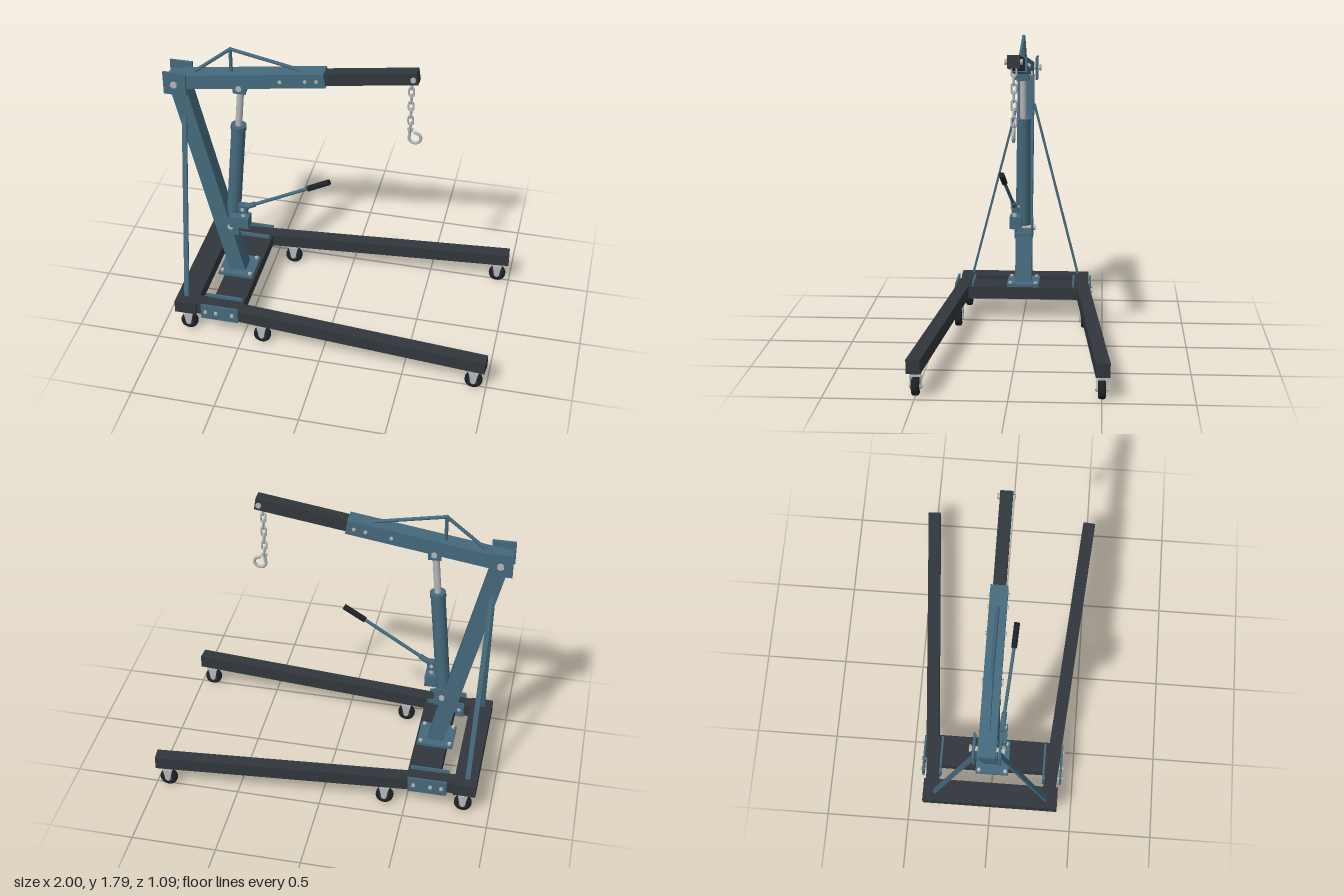
import * as THREE from 'three';

const V = (x, y, z = 0) => new THREE.Vector3(x, y, z);
const mat = (color) => new THREE.MeshStandardMaterial({ color });

export function createModel() {
  const root = new THREE.Group();
  const blue = mat(0x44697c), dark = mat(0x30373c), steel = mat(0xb4b6b8), rubber = mat(0x1e2124);

  const add = (name, geo, m, pos = V(0, 0), parent = root) => {
    const mesh = new THREE.Mesh(geo, m);
    mesh.name = name;
    mesh.position.copy(pos);
    parent.add(mesh);
    return mesh;
  };
  const box = (name, m, pos, w, h, d, parent) => add(name, new THREE.BoxGeometry(w, h, d), m, pos, parent);

  // Box beam from a to b: h across, d sideways (towards z)
  const beam = (name, m, a, b, h, d) => {
    const mesh = box(name, m, a.clone().lerp(b, 0.5), a.distanceTo(b), h, d);
    const x = b.clone().sub(a).normalize();
    const z = V(0, 0, 1).addScaledVector(x, -x.z).normalize();
    mesh.quaternion.setFromRotationMatrix(new THREE.Matrix4().makeBasis(x, z.clone().cross(x), z));
    return mesh;
  };
  // Round bar from a to b
  const rod = (name, m, a, b, r, sides = 20, parent = root, r2 = r) => {
    const mesh = add(name, new THREE.CylinderGeometry(r2, r, a.distanceTo(b), sides), m, a.clone().lerp(b, 0.5), parent);
    mesh.quaternion.setFromUnitVectors(V(0, 1), b.clone().sub(a).normalize());
    return mesh;
  };
  // Pin or bolt across z with hexagonal heads
  const pin = (name, x, y, z0, z1, r) => {
    rod(name, steel, V(x, y, z0), V(x, y, z1), r, 16);
    rod(name + 'Head', steel, V(x, y, z0), V(x, y, z0 + 0.012), r * 1.5, 6);
    rod(name + 'Nut', steel, V(x, y, z1 - 0.012), V(x, y, z1), r * 1.5, 6);
  };

  // Base frame
  box('rearCrossBeam', dark, V(-0.848, 0.178), 0.134, 0.078, 0.82);
  box('frontCrossBeam', dark, V(-0.597, 0.178), 0.19, 0.074, 0.7);
  box('columnFootPlate', blue, V(-0.622, 0.224), 0.215, 0.018, 0.2);
  for (const x of [-0.71, -0.535]) for (const z of [-0.08, 0.08])
    rod('footBolt', steel, V(x, 0.23, z), V(x, 0.245, z), 0.012, 6);

  // Casters: tyre, hub, forks and swivel
  const tyreProfile = [[0.026, -0.021], [0.042, -0.021], [0.049, -0.017], [0.052, -0.008],
    [0.052, 0.008], [0.049, 0.017], [0.042, 0.021], [0.026, 0.021]].map(([r, y]) => new THREE.Vector2(r, y));
  const tyreGeo = new THREE.LatheGeometry(tyreProfile, 32).rotateX(Math.PI / 2);
  const forkShape = new THREE.Shape([[-0.028, 0.118], [-0.014, 0.045], [0, 0.036], [0.014, 0.045], [0.028, 0.118]]
    .map(([x, y]) => new THREE.Vector2(x, y)));
  const forkGeo = new THREE.ExtrudeGeometry(forkShape, { depth: 0.006, bevelEnabled: false });
  const caster = (x, z) => {
    const g = new THREE.Group();
    g.name = 'caster';
    g.position.set(x, 0, z);
    root.add(g);
    add('tyre', tyreGeo, rubber, V(0, 0.052), g);
    rod('hub', dark, V(0, 0.052, -0.019), V(0, 0.052, 0.019), 0.028, 24, g);
    rod('axle', steel, V(0, 0.052, -0.036), V(0, 0.052, 0.036), 0.008, 12, g);
    for (const s of [-1, 1]) add('fork', forkGeo, steel, V(0, 0, s * 0.027 - 0.003), g);
    box('forkCrown', steel, V(0, 0.115), 0.056, 0.008, 0.06, g);
    rod('swivel', steel, V(0, 0.115), V(0, 0.132), 0.024, 20, g);
    box('mountPlate', steel, V(0, 0.134), 0.07, 0.008, 0.07, g);
  };

  // Both sides: legs, clamp plates, casters, braces
  for (const s of [-1, 1]) {
    beam('leg', dark, V(-0.783, 0.18, s * 0.358), V(0.993, 0.18, s * 0.506), 0.08, 0.078);
    for (const z of [0.316, 0.421]) box('legClampPlate', blue, V(-0.63, 0.186, s * z), 0.23, 0.1, 0.012);
    for (const x of [-0.715, -0.65, -0.55]) pin('legBolt', x, 0.19, s * 0.372 - 0.066, s * 0.372 + 0.066, 0.008);
    caster(-0.84, s * 0.365);
    caster(-0.375, s * 0.392);
    caster(0.925, s * 0.5);
    beam('brace', blue, V(-0.858, 0.205, s * 0.343), V(-0.893, 1.325, s * 0.054), 0.028, 0.014);
    box('mastHeadPlate', blue, V(-0.932, 1.551, s * 0.069), 0.134, 0.142, 0.014);
    box('ramFootPlate', blue, V(-0.648, 0.568, s * 0.053), 0.098, 0.116, 0.01);
    box('ramHeadPlate', blue, V(-0.562, 1.546, s * 0.034), 0.075, 0.065, 0.01);
  }

  // Column
  beam('column', blue, V(-0.617, 0.22), V(-0.921, 1.51), 0.097, 0.104);
  pin('mastPin', -0.932, 1.553, -0.095, 0.095, 0.014);

  // Boom with sliding extension
  const boomAt = (x, up = 0) => V(x, 1.555 + (x + 0.86) * 0.147 + up);
  beam('boom', blue, boomAt(-0.98), boomAt(-0.065), 0.088, 0.096);
  beam('boomExtension', dark, boomAt(-0.2), boomAt(0.455), 0.072, 0.07);
  for (const x of [-0.32, -0.175, -0.11]) pin('boomBolt', x, boomAt(x).y, -0.057, 0.057, 0.007);
  pin('hookPin', 0.432, boomAt(0.432).y, -0.05, 0.05, 0.011);

  // Truss on top of the boom
  const peak = V(-0.615, 1.78);
  rod('trussPost', blue, boomAt(-0.615, 0.03), peak, 0.01);
  rod('trussRod', blue, boomAt(-0.85, 0.035), peak, 0.01);
  rod('trussRod', blue, boomAt(-0.19, 0.04), peak, 0.01);
  add('trussJoint', new THREE.SphereGeometry(0.0115, 16, 12), blue, peak);

  // Hydraulic ram
  const foot = V(-0.647, 0.573), head = V(-0.561, 1.556);
  const ramAt = (t) => foot.clone().lerp(head, t);
  rod('ramCylinder', blue, ramAt(0.02), ramAt(0.715), 0.042, 32);
  rod('ramCollar', blue, ramAt(0.69), ramAt(0.718), 0.046, 32);
  rod('ramPiston', steel, ramAt(0.7), ramAt(0.985), 0.02, 24);
  box('ramHeadBlock', blue, V(-0.562, 1.545), 0.07, 0.055, 0.06);
  box('ramFootBlock', blue, V(-0.648, 0.53), 0.08, 0.02, 0.1);
  pin('ramFootPin', foot.x, foot.y, -0.074, 0.074, 0.012);
  pin('ramHeadPin', head.x, head.y, -0.058, 0.058, 0.012);

  // Pump and handle
  box('pumpBlock', blue, V(-0.588, 0.622, 0.047), 0.116, 0.074, 0.074);
  rod('pumpPlunger', steel, V(-0.565, 0.65, 0.052), V(-0.565, 0.71, 0.052), 0.014);
  box('handleSocket', blue, V(-0.565, 0.717, 0.052), 0.052, 0.058, 0.042);
  pin('handlePin', -0.565, 0.722, 0.024, 0.08, 0.008);
  const grip0 = V(-0.155, 0.955, 0.09), grip1 = V(-0.027, 1.027, 0.098);
  const socket = V(-0.565, 0.722, 0.054);
  rod('handleSleeve', blue, socket, socket.clone().lerp(grip0, 0.18), 0.016);
  rod('handle', blue, socket, grip0, 0.01);
  rod('handleGrip', rubber, grip0, grip1, 0.017);

  // Chain of alternating oval links
  const link = new THREE.CatmullRomCurve3(Array.from({ length: 16 }, (_, i) => {
    const a = (i / 16) * Math.PI * 2;
    return V(Math.cos(a) * 0.014, Math.sin(a) * 0.018 + Math.sign(Math.round(Math.sin(a) * 100)) * 0.012);
  }), true);
  const linkGeo = new THREE.TubeGeometry(link, 32, 0.0055, 8, true);
  for (let i = 0; i < 7; i++)
    add('chainLink', linkGeo, steel, V(0.418, 1.69 - i * 0.0465)).rotation.y = i % 2 ? 0 : Math.PI / 2;

  // Hook
  const hookPoints = [V(0.418, 1.395), V(0.415, 1.37)];
  for (let i = 0; i <= 10; i++) {
    const a = Math.PI * (0.85 + i * 0.165);
    hookPoints.push(V(0.445 + Math.cos(a) * 0.034, 1.342 + Math.sin(a) * 0.034));
  }
  add('hook', new THREE.TubeGeometry(new THREE.CatmullRomCurve3(hookPoints), 60, 0.009, 10), steel);
  add('hookTip', new THREE.SphereGeometry(0.009, 12, 8), steel, hookPoints[hookPoints.length - 1]);
  add('hookEye', new THREE.TorusGeometry(0.012, 0.006, 8, 20), steel, V(0.418, 1.395));

  return root;
}
